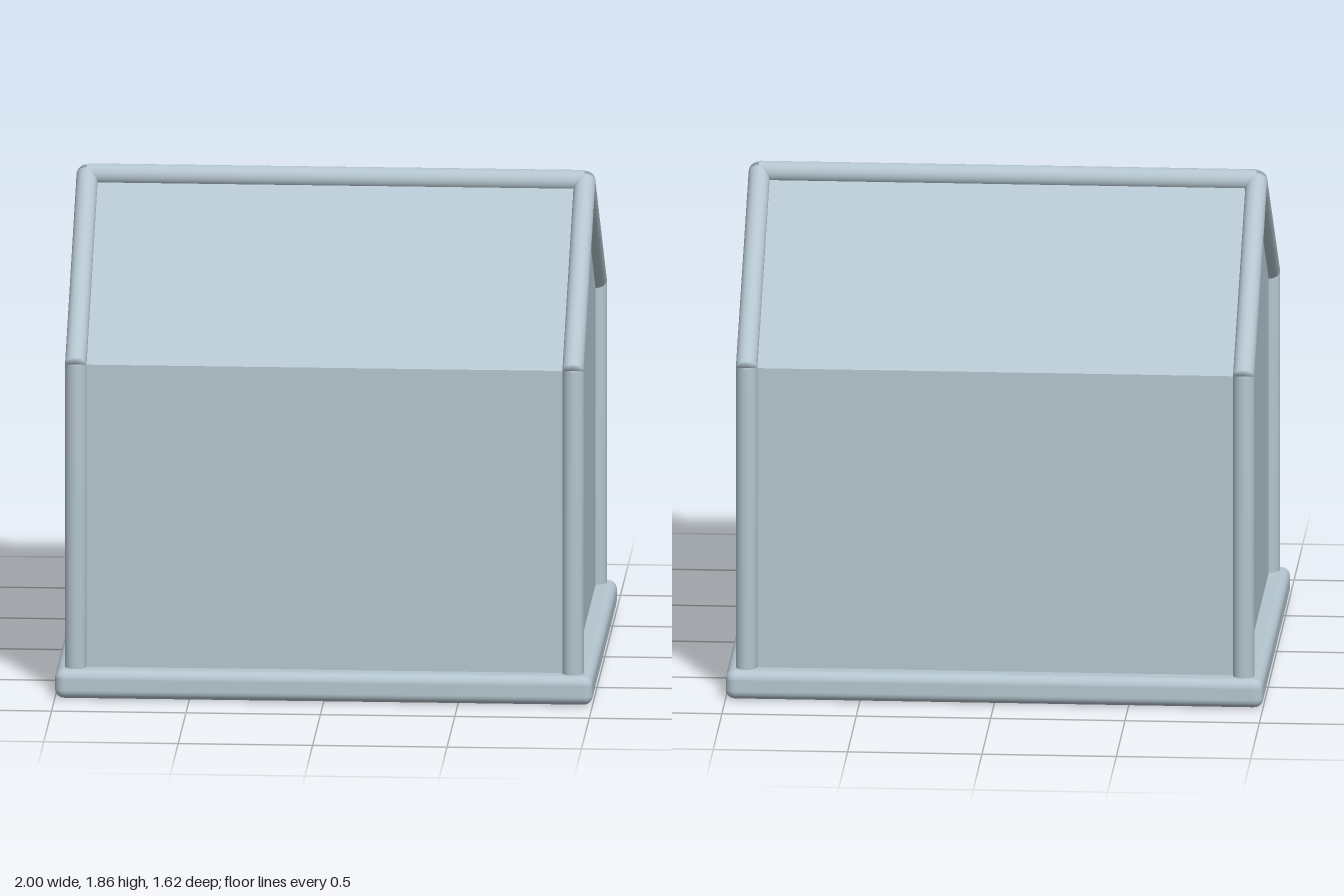
import * as THREE from 'three';
import { mergeVertices } from 'three/addons/utils/BufferGeometryUtils.js';
import { RoundedBoxGeometry } from 'three/addons/geometries/RoundedBoxGeometry.js';

const HALF_W = 0.925, HALF_D = 0.74;
const FLOOR = 0.1, EAVE = 1.262, RIDGE = 1.815, RADIUS = 0.04;

// Round bar between two points, with normals blended across its ends
function bar(name, from, to, material) {
  const a = new THREE.Vector3(...from), b = new THREE.Vector3(...to);
  let geometry = new THREE.CylinderGeometry(RADIUS, RADIUS, a.distanceTo(b), 24);
  geometry.deleteAttribute('normal');
  geometry.deleteAttribute('uv');
  geometry = mergeVertices(geometry);
  geometry.computeVertexNormals();
  const mesh = new THREE.Mesh(geometry, material);
  mesh.name = name;
  mesh.position.copy(a).add(b).multiplyScalar(0.5);
  mesh.quaternion.setFromUnitVectors(new THREE.Vector3(0, 1, 0), b.sub(a).normalize());
  return mesh;
}

export function createModel() {
  const house = new THREE.Group();
  house.name = 'house';
  const paint = new THREE.MeshStandardMaterial({ color: 0xb4c5cf });
  paint.name = 'paleBlueGrey';

  // Rounded floor slab
  const base = new THREE.Mesh(new RoundedBoxGeometry(2, 0.11, 1.625, 4, 0.035), paint);
  base.name = 'base';
  base.position.y = 0.055;
  house.add(base);

  // Gabled body: walls and roof slopes in one prism
  const gable = new THREE.Shape([
    new THREE.Vector2(-HALF_D, FLOOR),
    new THREE.Vector2(HALF_D, FLOOR),
    new THREE.Vector2(HALF_D, EAVE),
    new THREE.Vector2(0, RIDGE),
    new THREE.Vector2(-HALF_D, EAVE),
  ]);
  const bodyGeometry = new THREE.ExtrudeGeometry(gable, { depth: 2 * HALF_W, bevelEnabled: false });
  bodyGeometry.translate(0, 0, -HALF_W).rotateY(Math.PI / 2);
  const body = new THREE.Mesh(bodyGeometry, paint);
  body.name = 'wallsAndRoof';
  house.add(body);

  // Corner posts and the rafters rising from them
  for (const x of [-HALF_W, HALF_W]) {
    for (const z of [-HALF_D, HALF_D]) {
      house.add(bar('cornerPost', [x, FLOOR, z], [x, EAVE, z], paint));
      house.add(bar('rafter', [x, EAVE, z], [x, RIDGE, 0], paint));
    }
  }

  // Ridge beam
  house.add(bar('ridgeBeam', [-HALF_W, RIDGE, 0], [HALF_W, RIDGE, 0], paint));

  return house;
}
